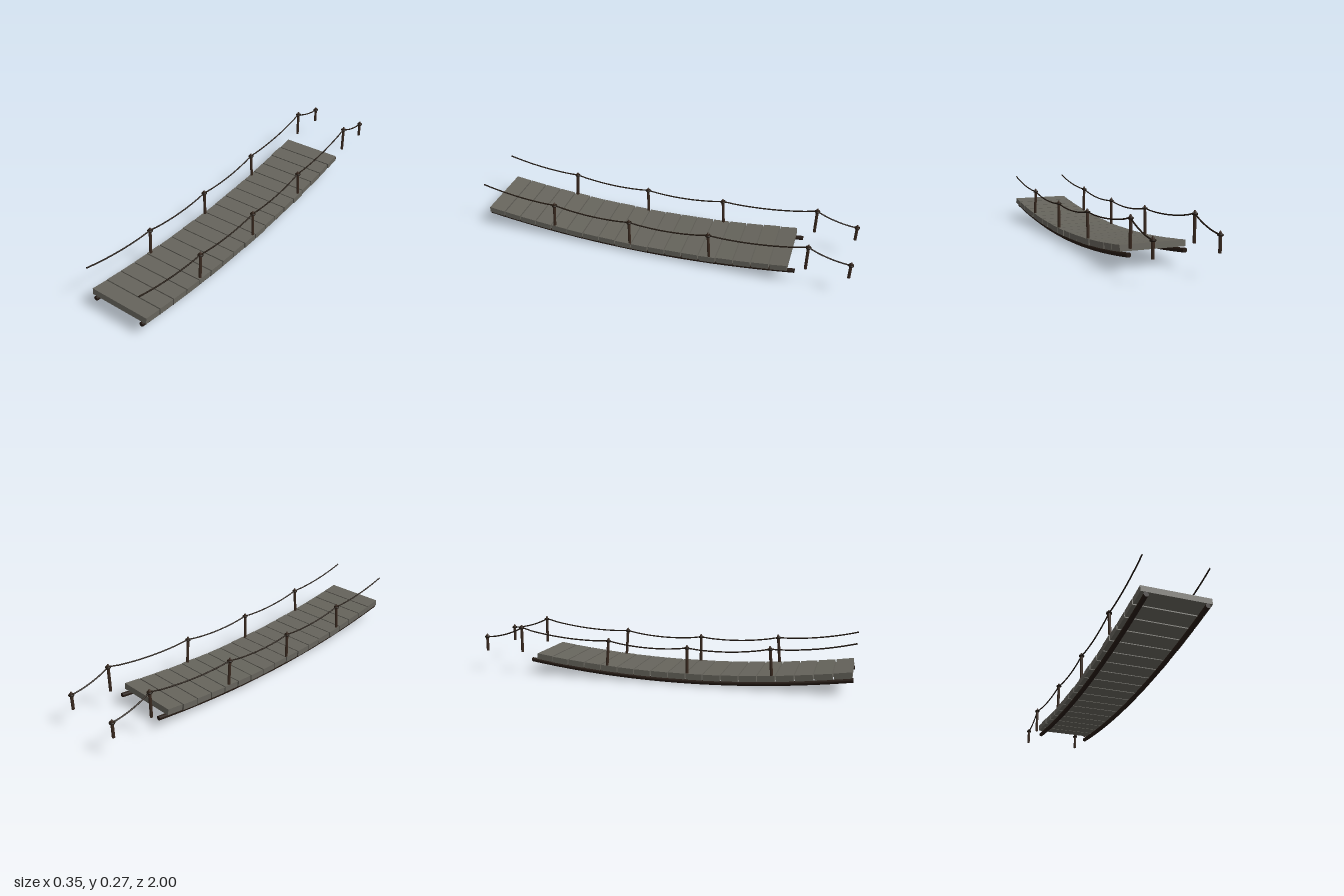
import * as THREE from 'three';

const mat = (name, color, extra = {}) => {
  const m = new THREE.MeshStandardMaterial({ color, ...extra });
  m.name = name;
  return m;
};

// Sagging line of the bridge, and its slope, at depth z
const sag = z => 0.087 * (z - 0.13) ** 2;
const tilt = z => -Math.atan(0.174 * (z - 0.13));

export function createModel() {
  const wood = mat('weatheredPlank', 0x66645c);
  const postWood = mat('postWood', 0x3a2a20);
  const ropeDark = mat('darkRope', 0x20170f);
  const beamWood = mat('beamWood', 0x251a13);

  const model = new THREE.Group();
  model.name = 'ropeBridge';
  const add = (name, geo, material, parent = model) => {
    const mesh = new THREE.Mesh(geo, material);
    mesh.name = name;
    parent.add(mesh);
    return mesh;
  };

  let seed = 7;
  const rand = () => (seed = (seed * 16807) % 2147483647) / 2147483647 - 0.5;

  // Deck planks following the sag, each very slightly irregular
  const count = 18, pitch = 0.0928;
  for (let i = 0; i < count; i++) {
    const z = 0.94 - i * pitch;
    const plank = add('plank', new THREE.BoxGeometry(0.334 + rand() * 0.005, 0.031, 0.087), wood);
    plank.position.set(rand() * 0.005, 0.043 + sag(z), z);
    plank.rotation.set(tilt(z), rand() * 0.006, 0);
  }

  // Bearer beams: straight capped cylinders bent along the sag
  const beamGeo = new THREE.CylinderGeometry(0.0115, 0.0115, 1.71, 14, 36);
  beamGeo.rotateX(Math.PI / 2).translate(0, 0.012, 0.135);
  const p = beamGeo.attributes.position;
  for (let i = 0; i < p.count; i++) p.setY(i, p.getY(i) + sag(p.getZ(i)));
  beamGeo.computeVertexNormals();

  // Posts: depth, foot height, knot height, lean
  const posts = [
    [0.585, 0.062, 0.21, tilt(0.585)],
    [0.16, 0.045, 0.191, 0],
    [-0.268, 0.058, 0.205, tilt(-0.268)],
    [-0.772, 0.116, 0.249, 0],
    [-0.985, 0.112, 0.19, 0],
  ];
  const postGeo = h => new THREE.LatheGeometry([
    [0, 0], [0.0076, 0], [0.0076, h + 0.004], [0.006, h + 0.011], [0.003, h + 0.017], [0, h + 0.018],
  ].map(([x, y]) => new THREE.Vector2(x, y)), 10);
  const knotGeo = new THREE.TorusGeometry(0.009, 0.0056, 8, 18).rotateX(Math.PI / 2);

  // Rope runs from the front end, one hanging span per pair of knots
  const knots = [[1, 0.262], ...posts.map(q => [q[0], q[2]])];
  const spanSag = [0.014, 0.017, 0.018, 0.018, 0.012];
  const ropePoints = x => {
    const pts = [];
    spanSag.forEach((drop, s) => {
      const [z0, y0] = knots[s], [z1, y1] = knots[s + 1];
      for (let k = s ? 1 : 0; k <= 8; k++) {
        const t = k / 8;
        pts.push(new THREE.Vector3(x, y0 + (y1 - y0) * t - 4 * drop * t * (1 - t), z0 + (z1 - z0) * t));
      }
    });
    return pts;
  };

  for (const side of [-1, 1]) {
    const x = side * 0.158;
    add('bearerBeam', beamGeo, beamWood).position.x = side * 0.141;
    for (const [z, foot, knotY, lean] of posts) {
      const group = new THREE.Group();
      group.name = 'railPost';
      const h = knotY - foot;
      add('post', postGeo(h), postWood, group);
      add('ropeKnot', knotGeo, ropeDark, group).position.y = h;
      group.rotation.x = lean;
      // keep the knot on the rope while the foot leans away
      group.position.set(x, foot, z - Math.sin(lean) * h);
      model.add(group);
    }
    const curve = new THREE.CatmullRomCurve3(ropePoints(x));
    add('handRope', new THREE.TubeGeometry(curve, 100, 0.0036, 8), ropeDark);
    // Rope end cap
    add('ropeEnd', new THREE.CircleGeometry(0.0036, 8), ropeDark).position.set(x, 0.262, 1);
  }
  return model;
}
